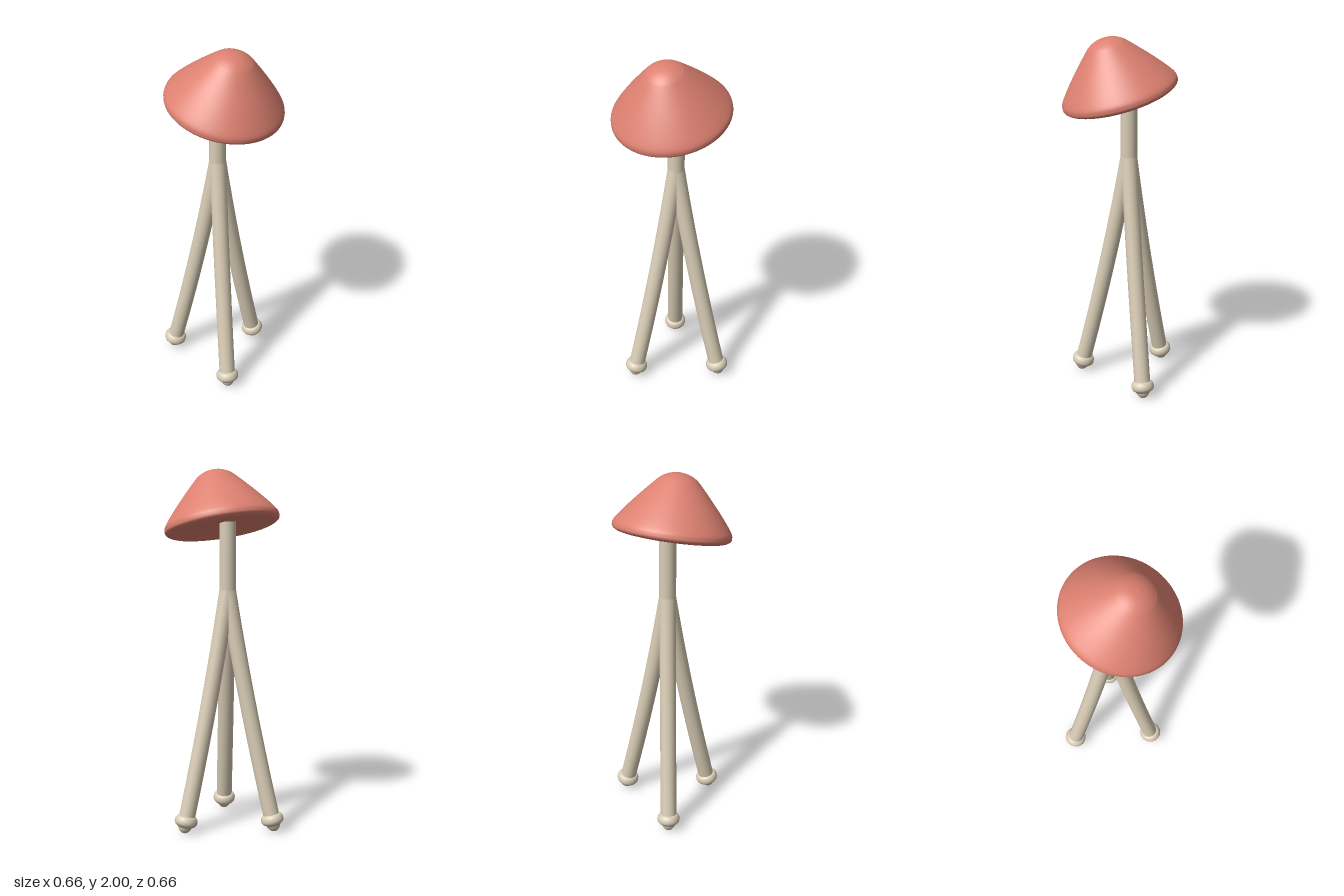
import * as THREE from 'three';

const V2 = (p) => new THREE.Vector2(p[0], p[1]);

// Surface of revolution from a smoothed [radius, height] profile, bottom to top
function turned(points, steps, sides) {
  const pts = new THREE.SplineCurve(points.map(V2)).getPoints(steps);
  pts.forEach((p) => { p.x = Math.max(p.x, 0); });
  return new THREE.LatheGeometry(pts, sides);
}

export function createModel() {
  const model = new THREE.Group();
  model.name = 'tripodMushroom';

  const capMat = new THREE.MeshStandardMaterial({ color: 0xdc8070 });
  capMat.name = 'salmon cap';
  const stalkMat = new THREE.MeshStandardMaterial({ color: 0xd9cdb6 });
  stalkMat.name = 'cream stalk';

  const add = (parent, name, geometry, material) => {
    const mesh = new THREE.Mesh(geometry, material);
    mesh.name = name;
    parent.add(mesh);
    return mesh;
  };

  // Cap, tipped towards the front
  const cap = add(model, 'cap', turned([
    [0, 0.006], [0.13, 0], [0.23, -0.012], [0.282, -0.02], [0.311, -0.009],
    [0.318, 0.01], [0.304, 0.045], [0.226, 0.142], [0.12, 0.258],
    [0.085, 0.288], [0.045, 0.306], [0, 0.313],
  ], 60, 64), capMat);
  cap.position.set(-0.018, 1.69, 0.03);
  cap.rotation.x = THREE.MathUtils.degToRad(16);

  // Everything below the cap shares one upright axis
  const stand = new THREE.Group();
  stand.name = 'stand';
  stand.position.set(-0.02, 0, -0.02);
  model.add(stand);

  const stem = add(stand, 'stem', new THREE.CylinderGeometry(0.046, 0.046, 0.38, 24), stalkMat);
  stem.position.y = 1.525;

  // Three gently bowed legs with bulbous feet
  const path = new THREE.QuadraticBezierCurve3(
    new THREE.Vector3(0, 1.345, 0),
    new THREE.Vector3(0.105, 0.75, 0),
    new THREE.Vector3(0.272, 0.09, 0),
  );
  const legGeo = new THREE.TubeGeometry(path, 24, 0.045, 20);
  const footGeo = turned([
    [0, -0.108], [0.018, -0.102], [0.033, -0.086], [0.04, -0.072], [0.058, -0.058],
    [0.064, -0.042], [0.06, -0.022], [0.045, -0.008], [0, -0.005],
  ], 28, 20);
  const end = path.getPoint(1);
  const dir = path.getTangent(1);

  for (let i = 0; i < 3; i++) {
    const leg = new THREE.Group();
    leg.name = 'leg' + (i + 1);
    leg.rotation.y = (i * Math.PI * 2) / 3;
    stand.add(leg);
    add(leg, 'shaft', legGeo, stalkMat);
    const foot = add(leg, 'foot', footGeo, stalkMat);
    foot.position.set(end.x - dir.x * 0.016, end.y + 0.016, 0);
    foot.rotation.z = Math.atan2(dir.x, -dir.y);
  }

  return model;
}
